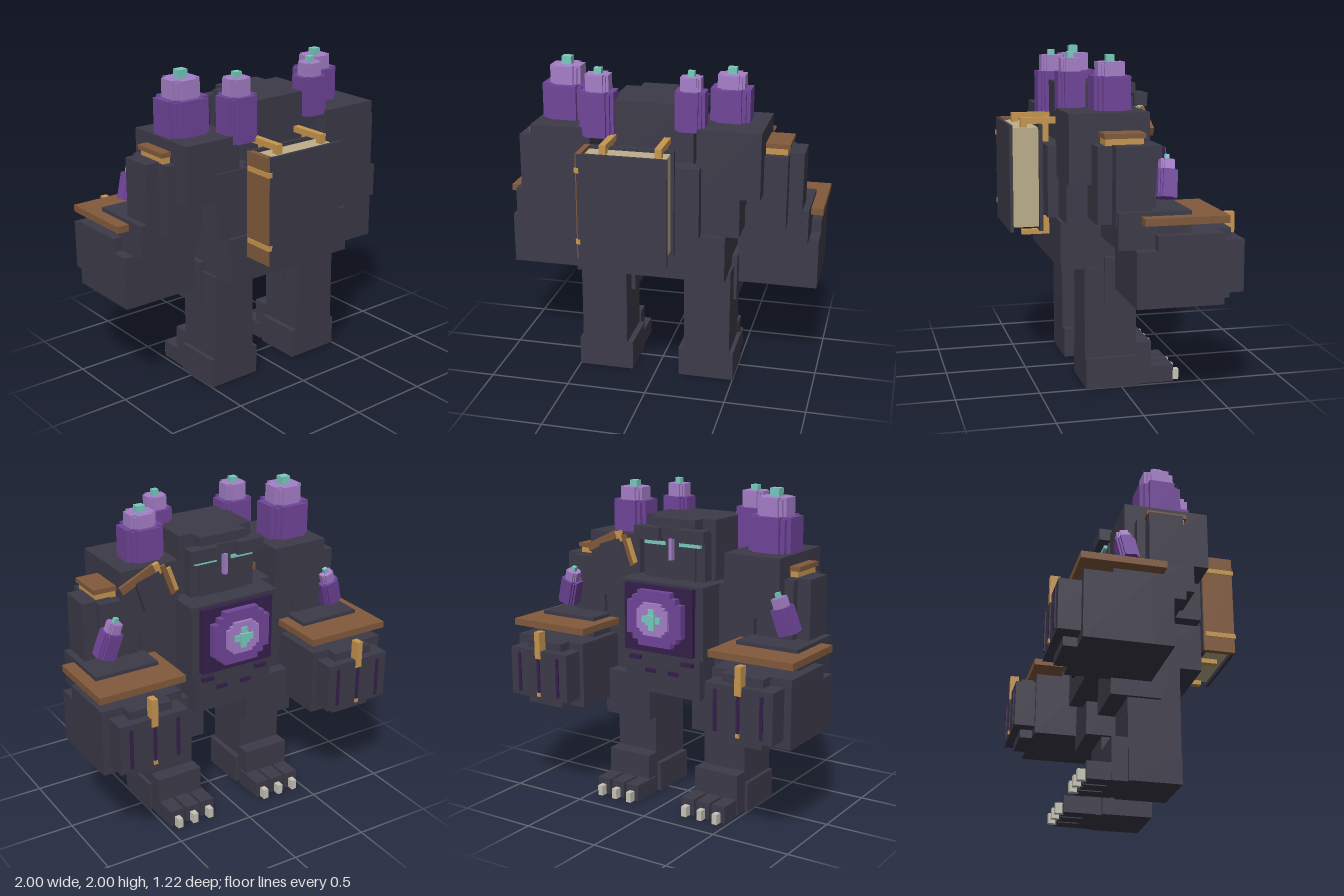
import * as THREE from 'three';

const mat = (name, color) => {
  const m = new THREE.MeshStandardMaterial({ color });
  m.name = name;
  return m;
};

export function createModel() {
  const stone = mat('dark stone', 0x3d3b49);
  const shadow = mat('deep purple', 0x35204a);
  const purple = mat('crystal purple', 0x70459a);
  const lilac = mat('crystal lilac', 0xa67fc9);
  const teal = mat('glow teal', 0x7accc0);
  const brown = mat('leather brown', 0x825a3c);
  const gold = mat('brass', 0xc8974f);
  const paper = mat('paper', 0xbfb08c);
  const claw = mat('claw', 0xc9c5b8);

  const model = new THREE.Group();
  model.name = 'golem';

  const group = (name, parent = model) => {
    const g = new THREE.Group();
    g.name = name;
    parent.add(g);
    return g;
  };
  // Box from its limits on each axis
  const box = (parent, name, m, x0, x1, y0, y1, z0, z1) => {
    const mesh = new THREE.Mesh(new THREE.BoxGeometry(x1 - x0, y1 - y0, z1 - z0), m);
    mesh.position.set((x0 + x1) / 2, (y0 + y1) / 2, (z0 + z1) / 2);
    mesh.name = name;
    parent.add(mesh);
    return mesh;
  };
  // Same box on both sides; limits are given for the +x side
  const pair = (parent, name, m, x0, x1, ...rest) => {
    box(parent, name + 'Left', m, x0, x1, ...rest);
    box(parent, name + 'Right', m, -x1, -x0, ...rest);
  };
  // Square bar whose ends are chamfered in steps, standing on y0
  const plusBar = (parent, name, m, w, d, y0, y1) => {
    box(parent, name + 'Wide', m, -w / 2, w / 2, y0, y1, -d * 0.3, d * 0.3);
    box(parent, name + 'Deep', m, -w * 0.3, w * 0.3, y0, y1, -d / 2, d / 2);
    box(parent, name + 'Core', m, -w * 0.4, w * 0.4, y0, y1 - 0.01, -d * 0.4, d * 0.4);
  };
  // Crystal: purple base, lilac shaft, teal tip
  const crystal = (name, x, y, z, w, h1, h2, h3) => {
    const g = group(name);
    g.position.set(x, y, z);
    plusBar(g, 'base', purple, w, w * 0.92, 0, h1);
    plusBar(g, 'shaft', lilac, w * 0.68, w * 0.66, h1 * 0.5, h2);
    box(g, 'tip', teal, -w * 0.11, w * 0.11, h2, h3, -w * 0.1, w * 0.1);
    return g;
  };

  // Torso and head
  const torso = group('torso');
  box(torso, 'hips', stone, -0.46, 0.46, 0.73, 1.02, -0.12, 0.36);
  box(torso, 'belly', stone, -0.27, 0.27, 0.73, 1.02, -0.29, 0);
  box(torso, 'ribs', stone, -0.54, 0.54, 1.02, 1.43, -0.12, 0.34);
  box(torso, 'chest', stone, -0.3, 0.3, 0.98, 1.43, -0.3, 0);
  box(torso, 'backPlate', stone, -0.31, 0.31, 1.02, 1.45, 0.3, 0.405);
  box(torso, 'hump', stone, -0.25, 0.25, 1.4, 1.8, -0.08, 0.29);
  box(torso, 'strap', brown, -0.38, 0.38, 1.43, 1.47, 0.04, 0.08);
  const head = group('head');
  box(head, 'skull', stone, -0.16, 0.16, 1.42, 1.8, -0.17, -0.06);
  box(head, 'cheeks', stone, -0.22, 0.22, 1.42, 1.72, -0.155, -0.06);
  pair(head, 'brow', stone, 0.07, 0.25, 1.665, 1.745, -0.22, -0.14);
  box(head, 'browBridge', stone, -0.07, 0.07, 1.68, 1.745, -0.185, -0.14);
  pair(head, 'eye', teal, 0.05, 0.2, 1.635, 1.657, -0.179, -0.15);
  box(head, 'nose', lilac, -0.012, 0.012, 1.55, 1.68, -0.2, -0.16);

  // Chest medallion
  const core = group('chestCore');
  box(core, 'panel', shadow, -0.245, 0.245, 1.0, 1.415, -0.335, -0.29);
  const cross = (name, m, w, h, z0, z1) => {
    box(core, name + 'Wide', m, -w / 2, w / 2, 1.22 - h * 0.3, 1.22 + h * 0.3, z0, z1);
    box(core, name + 'Tall', m, -w * 0.3, w * 0.3, 1.22 - h / 2, 1.22 + h / 2, z0, z1);
    box(core, name + 'Mid', m, -w * 0.4, w * 0.4, 1.22 - h * 0.4, 1.22 + h * 0.4, z0, z1);
  };
  cross('medallion', purple, 0.39, 0.34, -0.38, -0.33);
  cross('inlay', lilac, 0.22, 0.2, -0.4, -0.37);
  box(core, 'gemWide', teal, -0.065, 0.065, 1.2, 1.24, -0.41, -0.39);
  box(core, 'gemTall', teal, -0.02, 0.02, 1.155, 1.285, -0.41, -0.39);
  box(core, 'gemCentre', teal, -0.03, 0.03, 1.19, 1.25, -0.425, -0.4);
  pair(core, 'vent', shadow, 0.15, 0.23, 0.935, 0.96, -0.315, -0.28);
  pair(core, 'lowVent', shadow, 0.05, 0.12, 0.86, 0.885, -0.305, -0.28);

  // Shoulders differ slightly in height
  const shoulders = group('shoulders');
  box(shoulders, 'shoulderLeft', stone, 0.28, 0.66, 1.265, 1.67, -0.12, 0.35);
  box(shoulders, 'shoulderRight', stone, -0.74, -0.37, 1.265, 1.63, -0.18, 0.33);
  const bar = (name, m, x, y, z, w, h, d, tilt) => {
    const b = box(shoulders, name, m, -w / 2, w / 2, -h / 2, h / 2, -d / 2, d / 2);
    b.position.set(x, y, z);
    b.rotation.z = tilt;
  };
  bar('shoulderStrapA', brown, 0.56, 1.61, -0.13, 0.24, 0.05, 0.02, -0.45);
  bar('shoulderStrapB', brown, 0.36, 1.57, -0.13, 0.03, 0.2, 0.02, -0.35);
  bar('shoulderBuckle', gold, 0.43, 1.65, -0.125, 0.04, 0.07, 0.03, -0.3);
  bar('shoulderBuckleLow', gold, 0.33, 1.57, -0.135, 0.025, 0.16, 0.015, -0.35);
  bar('shoulderPlate', stone, 0.47, 1.52, -0.13, 0.16, 0.2, 0.03, -0.3);
  bar('hipStrap', brown, -0.53, 0.74, -0.2, 0.02, 0.2, 0.03, 0.35);
  bar('hipBuckle', gold, -0.52, 0.7, -0.2, 0.03, 0.04, 0.04, 0.35);

  // Arms, mirrored by limits
  const arms = group('arms');
  pair(arms, 'upperArm', stone, 0.56, 0.8, 1.06, 1.5, -0.12, 0.22);
  pair(arms, 'upperArmPlate', stone, 0.7, 0.885, 1.06, 1.505, -0.07, 0.135);
  pair(arms, 'armPadTrim', gold, 0.6, 0.79, 1.5, 1.545, -0.05, 0.17);
  pair(arms, 'armPad', brown, 0.6, 0.805, 1.54, 1.568, -0.06, 0.18);
  pair(arms, 'elbow', stone, 0.52, 0.925, 0.935, 1.145, -0.29, 0.13);
  pair(arms, 'cuff', brown, 0.45, 1.0, 1.08, 1.122, -0.49, 0);
  pair(arms, 'fist', stone, 0.47, 0.985, 0.61, 1.02, -0.47, -0.08);
  pair(arms, 'fistHeel', stone, 0.49, 0.985, 0.61, 0.935, -0.09, 0.04);
  pair(arms, 'fistMiddle', stone, 0.58, 0.85, 0.61, 1.02, -0.55, -0.4);
  pair(arms, 'knuckles', stone, 0.5, 0.94, 0.665, 0.97, -0.6, -0.46);
  for (const x of [0.57, 0.72, 0.87])
    pair(arms, 'knuckleSlit', shadow, x - 0.01, x + 0.01, 0.69, 0.94, -0.608, -0.59);
  pair(arms, 'cuffClasp', gold, 0.7, 0.74, 0.92, 1.09, -0.61, -0.553);
  pair(arms, 'claspStud', gold, 0.708, 0.732, 0.675, 0.7, -0.61, -0.59);

  // Legs and feet
  const legs = group('legs');
  pair(legs, 'thigh', stone, 0.16, 0.495, 0.51, 0.8, -0.2, 0.1);
  pair(legs, 'shin', stone, 0.185, 0.475, 0.18, 0.74, -0.095, 0.22);
  pair(legs, 'heel', stone, 0.15, 0.5, 0, 0.187, -0.095, 0.215);
  pair(legs, 'instep', stone, 0.175, 0.48, 0, 0.262, -0.19, -0.09);
  for (const x of [0.21, 0.32, 0.43]) {
    pair(legs, 'toe', stone, x - 0.046, x + 0.046, 0, 0.105, -0.33, -0.13);
    pair(legs, 'claw', claw, x - 0.017, x + 0.017, 0, 0.065, -0.375, -0.32);
  }

  // Book carried on the back
  const book = group('book');
  box(book, 'outerCover', stone, -0.37, 0.165, 0.91, 1.56, 0.588, 0.608);
  box(book, 'innerCover', stone, -0.37, 0.165, 0.91, 1.56, 0.405, 0.428);
  box(book, 'pages', paper, -0.345, 0.145, 0.935, 1.54, 0.428, 0.588);
  box(book, 'spine', brown, -0.377, -0.343, 0.91, 1.56, 0.41, 0.605);
  for (const y of [1.02, 1.46]) box(book, 'spineStud', gold, -0.382, -0.355, y - 0.015, y + 0.015, 0.42, 0.612);
  for (const x of [-0.235, 0.095]) {
    box(book, 'topHook', gold, x - 0.02, x + 0.02, 1.56, 1.597, 0.27, 0.53);
    box(book, 'topHookDrop', gold, x - 0.02, x + 0.02, 1.45, 1.57, 0.36, 0.408);
    box(book, 'topHookLip', gold, x - 0.02, x + 0.02, 1.535, 1.57, 0.49, 0.53);
    box(book, 'lowHook', gold, x - 0.02, x + 0.02, 0.883, 0.912, 0.34, 0.53);
    box(book, 'lowHookRise', gold, x - 0.02, x + 0.02, 0.89, 0.99, 0.355, 0.408);
  }

  // Shoulder crystals: x, y, z, width, then heights of the three tiers
  crystal('crystalRightOuter', -0.58, 1.6, 0.06, 0.28, 0.24, 0.35, 0.4);
  crystal('crystalRightInner', -0.33, 1.58, 0.255, 0.21, 0.27, 0.37, 0.405);
  crystal('crystalLeftInner', 0.228, 1.645, 0.25, 0.18, 0.235, 0.315, 0.35);
  crystal('crystalLeftOuter', 0.435, 1.66, 0.06, 0.24, 0.205, 0.285, 0.325);

  // Forearm crystals lean inwards
  for (const s of [1, -1]) {
    const c = crystal(s > 0 ? 'armCrystalLeft' : 'armCrystalRight', s * 0.81, 1.2, -0.17, 0.125, 0.16, 0.22, 0.25);
    c.rotation.set(-0.12, 0, s * 0.3);
  }
  return model;
}
